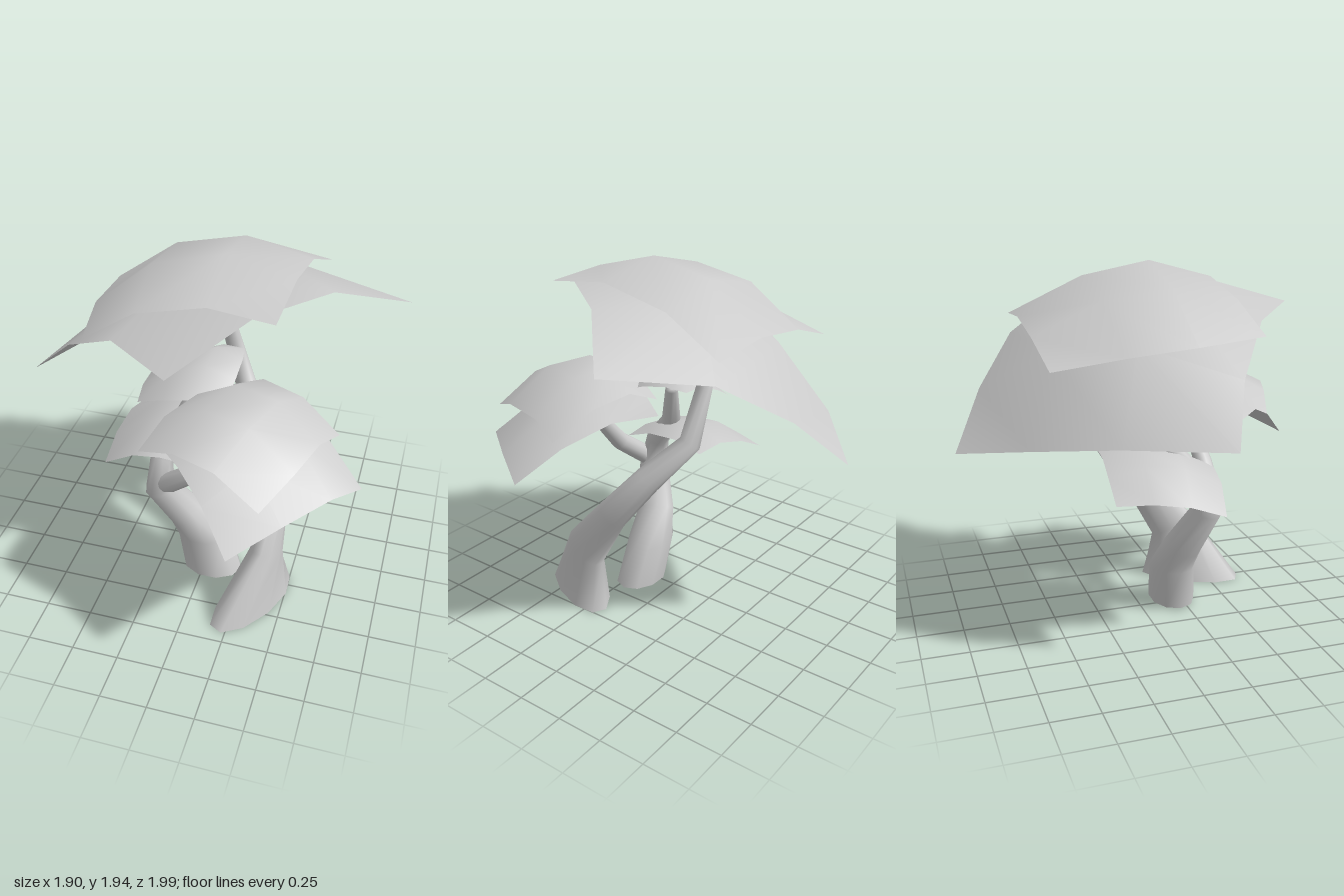
import * as THREE from 'three';

const material = new THREE.MeshStandardMaterial({ color: 0xcccccc, side: THREE.DoubleSide });

function gridMesh(name, positions, cols, rows) {
  const index = [];
  for (let j = 0; j < rows - 1; j++) {
    for (let i = 0; i < cols - 1; i++) {
      const a = j * cols + i, b = a + 1, c = a + cols, d = c + 1;
      index.push(a, b, d, a, d, c);
    }
  }
  const geometry = new THREE.BufferGeometry();
  geometry.setAttribute('position', new THREE.Float32BufferAttribute(positions, 3));
  geometry.setIndex(index);
  geometry.computeVertexNormals();
  const mesh = new THREE.Mesh(geometry, material);
  mesh.name = name;
  return mesh;
}

// Domed leaf sheet: a 3 x 3 patch spanned between four bent edges, raised inside.
// front and back run left to right; left and right hold the inner points, front to back.
function leafSheet(name, { front, back, left, right, bulge }) {
  const west = [front[0], ...left, back[0]];
  const east = [front[3], ...right, back[3]];
  const mix = (a, b, t) => a + (b - a) * t;
  const positions = [];
  for (let j = 0; j < 4; j++) {
    for (let i = 0; i < 4; i++) {
      const u = i / 3, v = j / 3;
      const inside = i % 3 && j % 3;
      for (let k = 0; k < 3; k++) {
        const corners = mix(mix(front[0][k], front[3][k], u), mix(back[0][k], back[3][k], u), v);
        const p = mix(front[i][k], back[i][k], v) + mix(west[j][k], east[j][k], u) - corners;
        positions.push(p + (k === 1 && inside ? bulge : 0));
      }
    }
  }
  return gridMesh(name, positions, 4, 4);
}

// Tapering limb through rings of [x, y, z, radiusX, radiusZ, yaw], closed at the tip.
// The first flatRings rings lie level, the others across the limb.
function limb(name, rings, flatRings) {
  const sides = 10, up = new THREE.Vector3(0, 1, 0), positions = [];
  const centres = rings.map(r => new THREE.Vector3(r[0], r[1], r[2]));
  const addRing = (centre, q, rx, rz, yaw) => {
    for (let s = 0; s <= sides; s++) {
      const a = -(s / sides) * Math.PI * 2;
      const p = new THREE.Vector3(Math.cos(a) * rx, 0, Math.sin(a) * rz);
      p.applyAxisAngle(up, yaw).applyQuaternion(q).add(centre);
      positions.push(p.x, p.y, p.z);
    }
  };
  let q;
  rings.forEach(([, , , rx, rz = rx, yaw = 0], i) => {
    const before = centres[Math.max(i - 1, 0)], after = centres[Math.min(i + 1, rings.length - 1)];
    q = new THREE.Quaternion();
    if (i >= flatRings) q.setFromUnitVectors(up, after.clone().sub(before).normalize());
    addRing(centres[i], q, rx, rz, yaw);
  });
  addRing(centres[centres.length - 1], q, 0, 0, 0);
  const mesh = gridMesh(name, positions, sides + 1, rings.length + 1);
  // Join the shading across the seam
  const n = mesh.geometry.attributes.normal;
  for (let j = 0; j <= rings.length; j++) {
    const a = j * (sides + 1), b = a + sides;
    const m = new THREE.Vector3().fromBufferAttribute(n, a)
      .add(new THREE.Vector3().fromBufferAttribute(n, b)).normalize();
    n.setXYZ(a, m.x, m.y, m.z);
    n.setXYZ(b, m.x, m.y, m.z);
  }
  return mesh;
}

export function createModel() {
  const tree = new THREE.Group();
  tree.name = 'tree';

  // Trunks and branches
  tree.add(
    limb('tallTrunk', [
      [0.33, 0.01, 0.42, 0.13, 0.3, -0.5], [0.385, 0.33, 0.32, 0.08, 0.135, -0.25], [0.395, 0.6, 0.12, 0.065, 0.09],
      [0.31, 0.83, -0.06, 0.065, 0.075], [0.13, 1.01, -0.2, 0.06], [0.04, 1.3, -0.225, 0.045],
      [-0.03, 1.72, -0.125, 0.026],
    ], 1),
    limb('shortTrunk', [
      [0.045, 0.02, 0.2, 0.17, 0.125], [-0.015, 0.25, 0.18, 0.15, 0.125], [-0.11, 0.4, 0.21, 0.095, 0.11],
      [-0.22, 0.63, 0.305, 0.085], [-0.215, 0.8, 0.27, 0.065], [-0.14, 0.97, 0.12, 0.055],
      [-0.05, 1.2, 0.05, 0.035],
    ], 2),
    limb('sideBranch', [
      [-0.23, 0.62, 0.29, 0.04], [-0.15, 0.71, 0.355, 0.055], [0.01, 0.83, 0.37, 0.05],
      [0.16, 0.99, 0.355, 0.042], [0.25, 1.15, 0.385, 0.025],
    ], 0),
  );

  // Large crown, two overlapping sheets
  tree.add(
    leafSheet('lowerCrown', {
      front: [[-0.95, 1.18, 0.17], [-0.68, 1.45, 0.3], [-0.35, 1.67, 0.53], [0.01, 1.71, 0.83]],
      back: [[-0.08, 1.03, -1], [0.18, 1.3, -0.83], [0.5, 1.53, -0.6], [0.95, 1.63, -0.28]],
      left: [[-0.73, 1.175, -0.32], [-0.45, 1.12, -0.69]],
      right: [[0.3, 1.83, 0.42], [0.6, 1.8, 0.03]],
      bulge: 0.12,
    }),
    leafSheet('upperCrown', {
      front: [[-0.52, 1.62, 0.48], [-0.27, 1.77, 0.43], [0.08, 1.85, 0.42], [0.41, 1.83, 0.45]],
      back: [[-0.52, 1.51, -0.6], [-0.2, 1.62, -0.62], [0.15, 1.67, -0.62], [0.49, 1.64, -0.61]],
      left: [[-0.6, 1.6, 0.1], [-0.6, 1.57, -0.25]],
      right: [[0.43, 1.88, 0.1], [0.44, 1.8, -0.28]],
      bulge: 0.075,
    }),
  );

  // Front crown, two overlapping sheets
  tree.add(
    leafSheet('lowerFrontCrown', {
      front: [[-0.15, 1.08, 0.5], [0.01, 1.11, 0.68], [0.17, 1.03, 0.83], [0.33, 0.87, 0.99]],
      back: [[0.2, 1.15, -0.05], [0.42, 1.15, 0.08], [0.66, 1.06, 0.21], [0.86, 0.9, 0.35]],
      left: [[-0.04, 1.15, 0.3], [0.08, 1.18, 0.12]],
      right: [[0.55, 0.965, 0.8], [0.74, 0.97, 0.55]],
      bulge: 0.045,
    }),
    leafSheet('upperFrontCrown', {
      front: [[-0.2, 1.14, 0.65], [0, 1.22, 0.72], [0.22, 1.22, 0.8], [0.45, 1.08, 0.86]],
      back: [[0.08, 1.18, 0.05], [0.28, 1.27, 0.07], [0.5, 1.24, 0.13], [0.71, 1.11, 0.22]],
      left: [[-0.13, 1.22, 0.45], [-0.02, 1.24, 0.25]],
      right: [[0.57, 1.17, 0.65], [0.64, 1.17, 0.4]],
      bulge: 0.03,
    }),
  );

  // Small crowns
  tree.add(
    leafSheet('middleCrown', {
      front: [[-0.35, 1.12, 0.24], [-0.2, 1.18, 0.27], [-0.03, 1.22, 0.28], [0.12, 1.2, 0.25]],
      back: [[-0.33, 1.12, -0.13], [-0.18, 1.2, -0.17], [0, 1.28, -0.18], [0.12, 1.28, -0.17]],
      left: [[-0.36, 1.15, 0.12], [-0.35, 1.16, 0]],
      right: [[0.14, 1.26, 0.1], [0.14, 1.29, -0.04]],
      bulge: 0.055,
    }),
    leafSheet('lowCrown', {
      front: [[-0.54, 0.71, 0.29], [-0.36, 0.83, 0.33], [-0.2, 0.865, 0.35], [-0.04, 0.85, 0.35]],
      back: [[-0.46, 0.8, -0.27], [-0.28, 0.89, -0.26], [-0.1, 0.94, -0.24], [0.07, 0.93, -0.22]],
      left: [[-0.54, 0.78, 0.1], [-0.52, 0.81, -0.09]],
      right: [[0.01, 0.93, 0.16], [0.05, 0.96, -0.04]],
      bulge: 0.03,
    }),
  );

  return tree;
}
